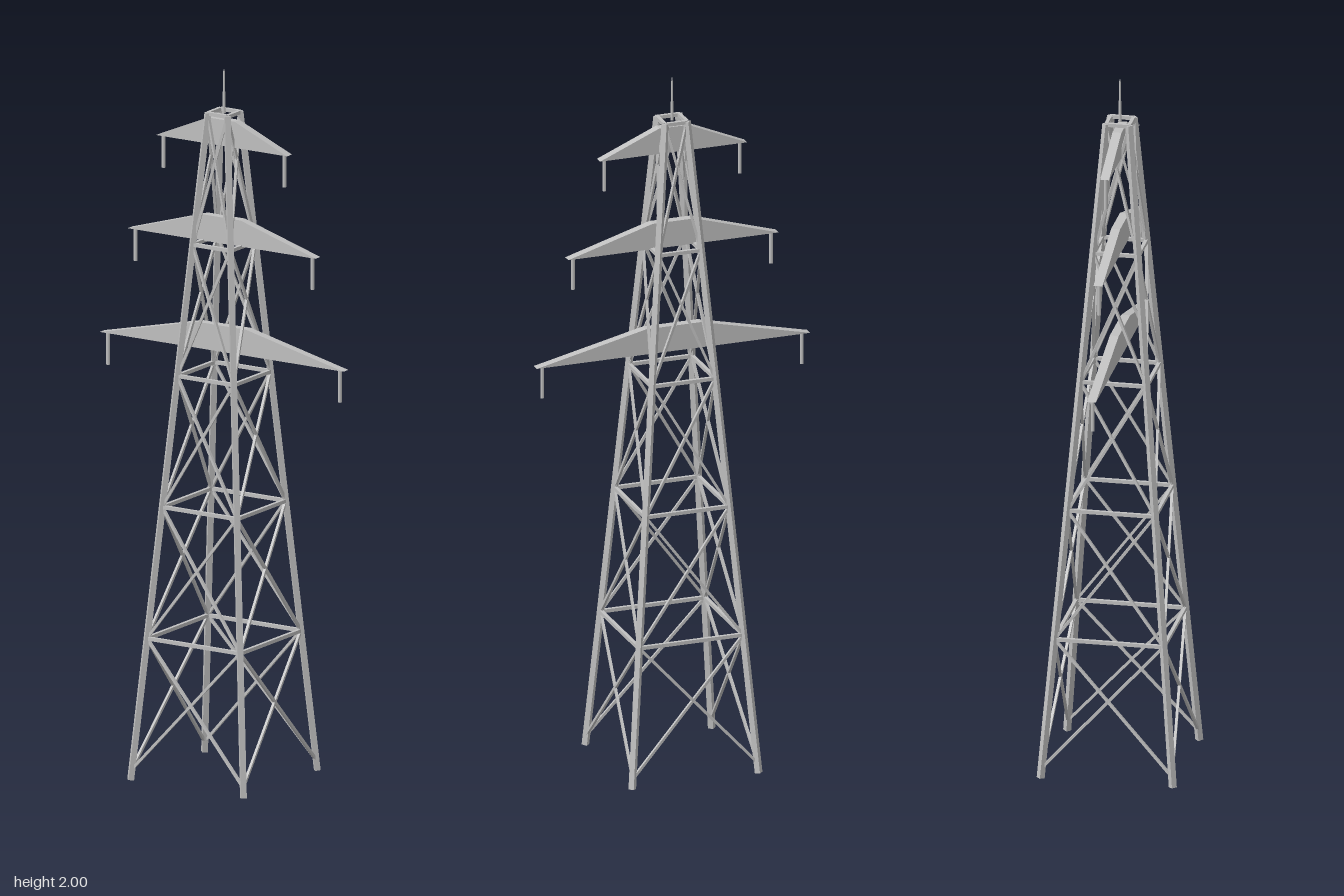
import * as THREE from 'three';

export function createModel() {
  const tower = new THREE.Group();
  tower.name = 'latticeTower';
  const steel = new THREE.MeshStandardMaterial({ color: 0xc0c0c0 });
  steel.name = 'galvanised steel';

  // Half width of the tapering body at a height
  const half = y => 0.185 - (0.153 * y) / 1.877;
  const levels = [0.03, 0.399, 0.769, 1.138, 1.508, 1.877];

  const add = (parent, geometry, name) => {
    const mesh = new THREE.Mesh(geometry, steel);
    mesh.name = name;
    parent.add(mesh);
    return mesh;
  };

  // Square bar between two points
  const bar = (parent, a, b, width, name) => {
    const mesh = add(parent, new THREE.BoxGeometry(width, width, a.distanceTo(b)), name);
    mesh.position.copy(a).lerp(b, 0.5);
    mesh.lookAt(b);
  };

  // Four identical sides, each with one leg, cross braces and level beams
  for (let side = 0; side < 4; side++) {
    const group = new THREE.Group();
    group.name = 'bodySide';
    const corner = (s, y) => new THREE.Vector3(s * half(y), y, half(y))
      .applyAxisAngle(new THREE.Vector3(0, 1, 0), (side * Math.PI) / 2);
    bar(group, corner(1, 0.001), corner(1, 1.879), 0.016, 'leg');
    for (let i = 0; i < 5; i++) {
      const lo = levels[i], hi = levels[i + 1];
      bar(group, corner(-1, lo), corner(1, hi), 0.0075, 'crossBrace');
      bar(group, corner(1, lo), corner(-1, hi), 0.0075, 'crossBrace');
      bar(group, corner(-1, hi), corner(1, hi), 0.01, 'levelBeam');
    }
    tower.add(group);
  }

  // Cross arms: [tip reach, hanger position, underside height]
  for (const [reach, hang, y] of [[0.4, 0.38, 1.202], [0.308, 0.29, 1.509], [0.215, 0.198, 1.786]]) {
    const group = new THREE.Group();
    group.name = 'crossArm';
    group.position.y = y;
    const outline = new THREE.Shape([
      [-reach, 0], [reach, 0], [reach * 0.2, 0.074], [-reach * 0.2, 0.074],
    ].map(p => new THREE.Vector2(...p)));
    const blade = new THREE.ExtrudeGeometry(outline, { depth: 0.025, bevelEnabled: false });
    add(group, blade.translate(0, 0, -0.0125), 'armBlade');
    for (const s of [-1, 1]) {
      const hanger = add(group, new THREE.CylinderGeometry(0.0055, 0.0055, 0.092, 8), 'insulator');
      hanger.position.set(s * hang, -0.046, 0);
    }
    tower.add(group);
  }

  // Tapered spire at the peak
  add(tower, new THREE.CylinderGeometry(0.002, 0.005, 0.123, 8), 'spire').position.y = 1.9375;
  return tower;
}
